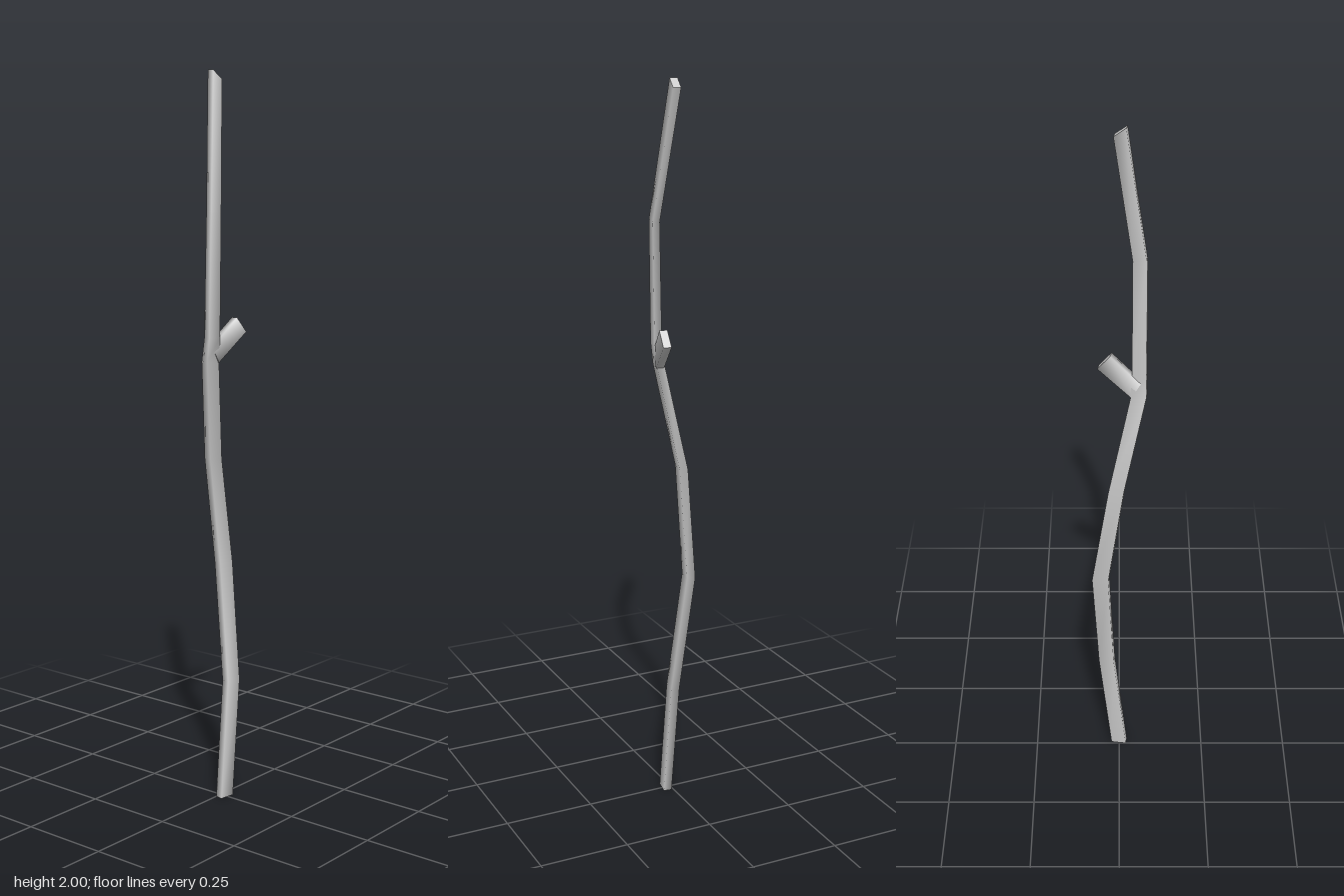
import * as THREE from 'three';

const material = new THREE.MeshStandardMaterial({ color: 0xcccccc });

// Four-sided limb lofted through rings { c: centre, u, v: half-width vectors }.
// Sides share vertices for smooth shading; the end caps have their own.
function limb(name, rings) {
  const pos = [], idx = [];
  const addRing = ({ c, u, v }) => {
    for (const [s, t] of [[-1, -1], [1, -1], [1, 1], [-1, 1]])
      for (let k = 0; k < 3; k++) pos.push(c[k] + s * u[k] + t * v[k]);
  };
  rings.forEach(addRing);
  for (let r = 0; r < rings.length - 1; r++) {
    for (let i = 0; i < 4; i++) {
      const a = r * 4 + i, b = r * 4 + (i + 1) % 4;
      idx.push(a, a + 4, b, b, a + 4, b + 4);
    }
  }
  const n = rings.length * 4;
  addRing(rings[0]);
  addRing(rings[rings.length - 1]);
  idx.push(n, n + 1, n + 2, n, n + 2, n + 3);
  idx.push(n + 4, n + 6, n + 5, n + 4, n + 7, n + 6);

  const geo = new THREE.BufferGeometry();
  geo.setAttribute('position', new THREE.Float32BufferAttribute(pos, 3));
  geo.setIndex(idx);
  geo.computeVertexNormals();
  const mesh = new THREE.Mesh(geo, material);
  mesh.name = name;
  return mesh;
}

export function createModel() {
  const group = new THREE.Group();
  group.name = 'stick';

  // Crooked main stem: x, y, z, half width, half depth, tilt of the ring
  const stem = [
    [0.014, 0, 0, 0.011, 0.0215, 0],
    [0.008, 0.33, -0.036, 0.0115, 0.0215, 0],
    [-0.032, 0.66, -0.052, 0.0115, 0.0225, 0],
    [-0.032, 0.96, -0.007, 0.0115, 0.021, 0.1],
    [0.007, 1.235, 0.052, 0.011, 0.021, 0.1],
    [0.015, 1.3, 0.054, 0.01, 0.019, 0],
    [0.02, 1.63, 0.053, 0.0095, 0.0175, 0.1],
    [-0.017, 1.987, 0.003, 0.0105, 0.0155, 0.75],
  ];
  group.add(limb('mainStem', stem.map(([x, y, z, a, b, tilt]) => ({
    c: [x, y, z],
    u: [a, 0, a * 0.17],
    v: [-b * 0.15, b * tilt, b],
  }))));

  // Short broken side branch, leaning back and up
  const u = [0.011, 0, 0.002], v = [-0.002, 0.02, 0.017];
  group.add(limb('sideBranch', [
    { c: [0.011, 1.255, 0.046], u, v: [-0.002, 0.022, 0.012] },
    { c: [0.032, 1.33, -0.039], u, v },
  ]));

  return group;
}
